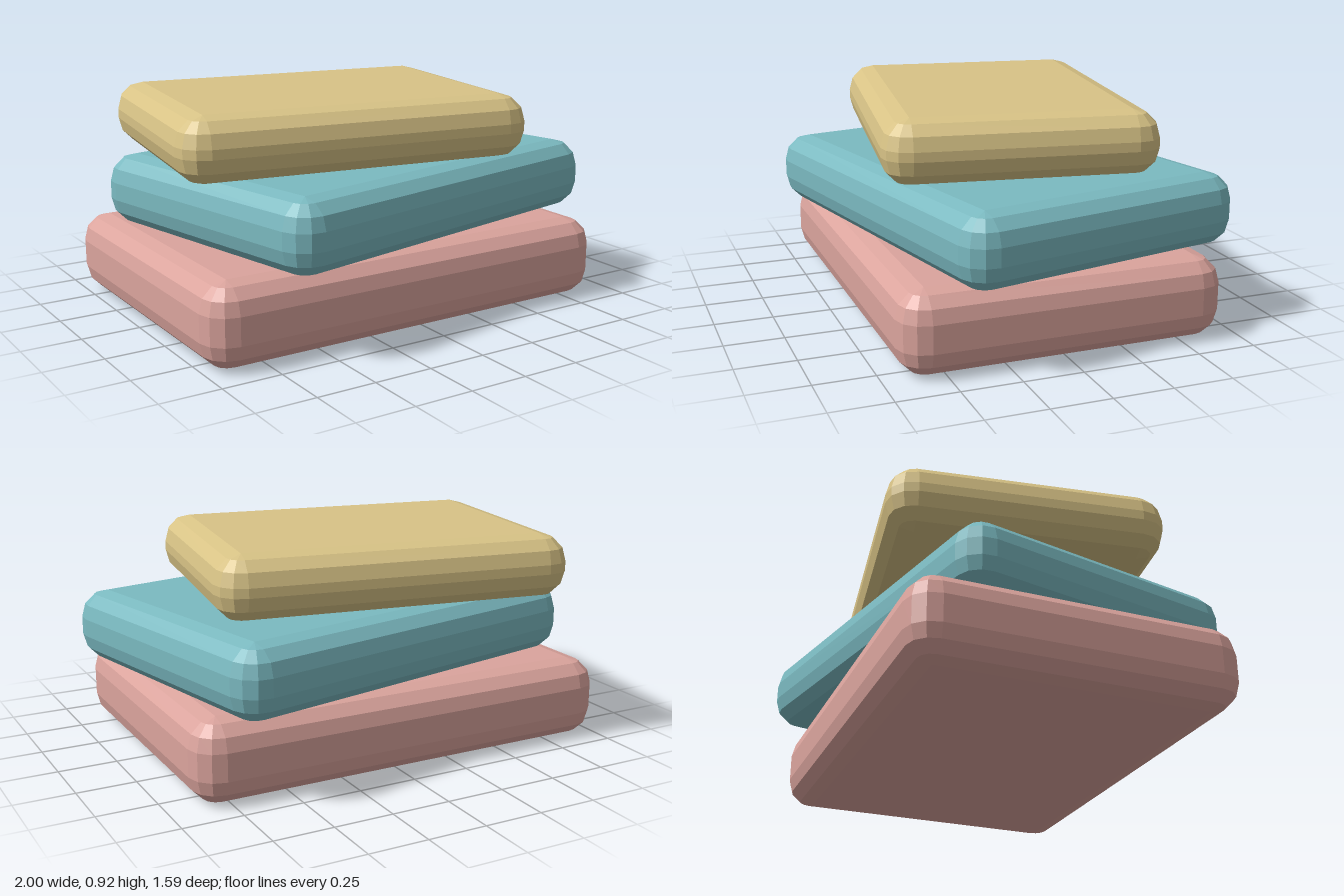
import * as THREE from 'three';

const BEVEL = 0.115;

// Box with three-facet bevels: a sphere grid pulled apart into eight rounded corners.
function bevelledSlab(width, height, depth) {
  const columns = 16, rows = 9;
  const geometry = new THREE.SphereGeometry(1, columns, rows);
  const p = geometry.attributes.position;
  const hx = width / 2 - BEVEL, hy = height / 2 - BEVEL, hz = depth / 2 - BEVEL;
  for (let i = 0; i < p.count; i++) {
    const row = Math.floor(i / (columns + 1));
    const col = (i % (columns + 1)) % columns;
    // First and last rows close the flat top and bottom faces.
    if (row === 0 || row === rows) {
      p.setXYZ(i, 0, (row === 0 ? 1 : -1) * height / 2, 0);
      continue;
    }
    const corner = Math.floor(col / 4);
    const theta = (corner * 3 + (col % 4)) * Math.PI / 6;
    const upper = row <= 4;
    const phi = (upper ? row - 1 : row - 2) * Math.PI / 6;
    const middle = (corner + 0.5) * Math.PI / 2;
    const sx = -Math.sign(Math.cos(middle)), sz = Math.sign(Math.sin(middle));
    p.setXYZ(i,
      sx * hx - BEVEL * Math.cos(theta) * Math.sin(phi),
      (upper ? hy : -hy) + BEVEL * Math.cos(phi),
      sz * hz + BEVEL * Math.sin(theta) * Math.sin(phi));
  }
  geometry.computeVertexNormals();
  const flat = geometry.toNonIndexed();
  flat.computeVertexNormals();
  return flat;
}

function material(name, color) {
  const m = new THREE.MeshStandardMaterial({ color, flatShading: true });
  m.name = name;
  return m;
}

export function createModel() {
  const group = new THREE.Group();
  group.name = 'slabStack';

  // Three slabs, each turned differently, from bottom to top.
  const slabs = [
    { name: 'bottomSlab', mat: material('dusty pink', 0xdba49d), size: [1.9, 0.345, 1.37], at: [-0.05, 0.1725, 0], turn: 0 },
    { name: 'middleSlab', mat: material('soft teal', 0x7bbac1), size: [1.76, 0.305, 1.3], at: [0.03, 0.4975, 0], turn: 12 },
    { name: 'topSlab', mat: material('sand yellow', 0xd8c386), size: [1.525, 0.27, 1.14], at: [-0.125, 0.785, -0.04], turn: -9 },
  ];
  for (const { name, mat, size, at, turn } of slabs) {
    const mesh = new THREE.Mesh(bevelledSlab(...size), mat);
    mesh.name = name;
    mesh.position.set(...at);
    mesh.rotation.y = THREE.MathUtils.degToRad(turn);
    group.add(mesh);
  }
  return group;
}
